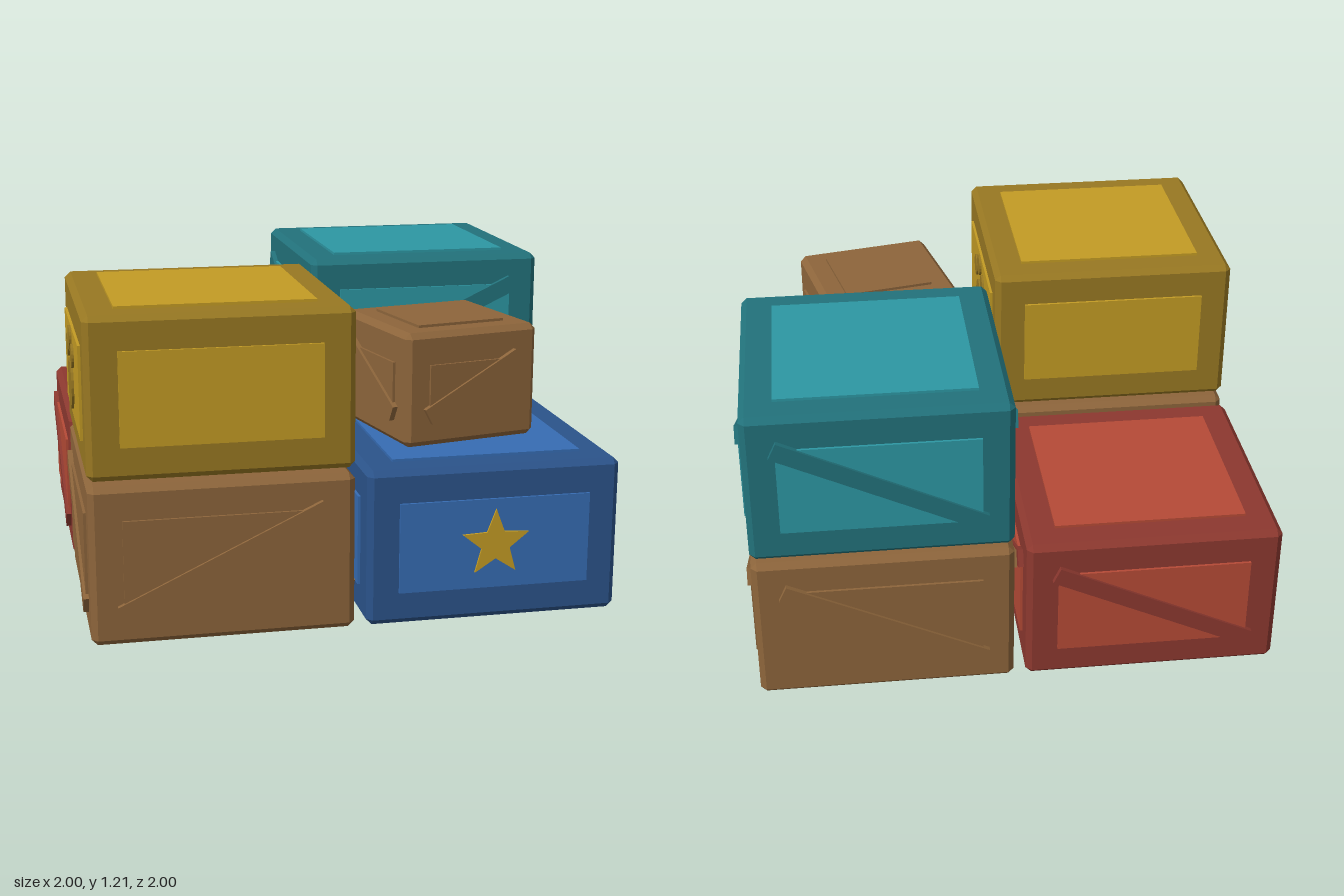
import * as THREE from 'three';
import { ConvexGeometry } from 'three/addons/geometries/ConvexGeometry.js';

const mat = (name, color) => {
  const m = new THREE.MeshStandardMaterial({ color });
  m.name = name;
  return m;
};

// Box with every edge cut at 45 degrees
function chamferBox(w, h, d, c) {
  const pts = [];
  for (const x of [-1, 1]) for (const y of [-1, 1]) for (const z of [-1, 1]) {
    pts.push(
      new THREE.Vector3(x * w / 2, y * (h / 2 - c), z * (d / 2 - c)),
      new THREE.Vector3(x * (w / 2 - c), y * h / 2, z * (d / 2 - c)),
      new THREE.Vector3(x * (w / 2 - c), y * (h / 2 - c), z * d / 2));
  }
  return new ConvexGeometry(pts);
}

function starShape(outer, inner) {
  const pts = [];
  for (let i = 0; i < 10; i++) {
    const r = i % 2 ? inner : outer, a = Math.PI / 2 + i * Math.PI / 5;
    pts.push(new THREE.Vector2(r * Math.cos(a), r * Math.sin(a)));
  }
  return new THREE.Shape(pts);
}

const disc = (x, y, r) => new THREE.Shape().absarc(x, y, r, 0, Math.PI * 2);

export function createModel() {
  const brown = mat('brownWood', 0x8d653b);
  const gold = mat('goldPanel', 0xc39b24), goldFrame = mat('goldFrame', 0x987822);
  const teal = mat('tealPanel', 0x2d97a3), tealFrame = mat('tealFrame', 0x22727b);
  const blue = mat('bluePanel', 0x366cb3), blueFrame = mat('blueFrame', 0x2b538a);
  const red = mat('redPanel', 0xb54a36), redFrame = mat('redFrame', 0x8c382f);

  const model = new THREE.Group();
  model.name = 'crateStack';

  const plate = (shapes) => new THREE.ExtrudeGeometry(shapes, { depth: 0.009, bevelEnabled: false, curveSegments: 10 });
  const starGeo = plate(starShape(0.132, 0.056));
  const pawGeo = plate([
    disc(0, -0.045, 0.095), disc(0, 0.127, 0.044),
    disc(-0.105, 0.08, 0.044), disc(0.105, 0.08, 0.044)]);

  // size: body width and height; panel: panel width and height
  function crate(name, { size: [w, h], panel: [pw, ph], frame, fill, brace, emblem, emblemMat, emblemSides = [] }) {
    const g = new THREE.Group();
    g.name = name;
    const add = (parent, part, geo, material) => {
      const m = new THREE.Mesh(geo, material);
      m.name = part;
      parent.add(m);
      return m;
    };
    add(g, 'body', chamferBox(w, h, w, 0.022), frame);

    // Top and bottom panels
    for (const s of [-1, 1]) {
      add(g, s > 0 ? 'topPanel' : 'bottomPanel', new THREE.BoxGeometry(pw, 0.02, pw), fill).position.y = s * h / 2;
    }

    // Four sides: panel, then a diagonal brace or an emblem
    for (let i = 0; i < 4; i++) {
      const side = new THREE.Group();
      side.name = ['frontSide', 'leftSide', 'backSide', 'rightSide'][i];
      side.rotation.y = i * Math.PI / 2;
      g.add(side);
      add(side, 'sidePanel', new THREE.BoxGeometry(pw, ph, 0.02), fill).position.z = w / 2;
      if (brace) {
        const b = add(side, 'brace', new THREE.BoxGeometry(Math.hypot(pw, ph) + 0.02, 0.066, 0.02), frame);
        b.position.z = w / 2 + 0.01;
        b.rotation.z = Math.atan2(ph, pw) * (i < 2 ? 1 : -1);
      }
      if (emblemSides.includes(i)) {
        add(side, 'emblem', emblem, emblemMat).position.z = w / 2 + 0.01;
      }
    }
    model.add(g);
    return g;
  }

  const big = { size: [0.955, 0.587], panel: [0.72, 0.34] };
  const low = 0.303, high = 0.909, c = 0.5;

  // Lower layer
  crate('frontBrownCrate', { ...big, frame: brown, fill: brown, brace: true }).position.set(-c, low, c);
  crate('backBrownCrate', { ...big, frame: brown, fill: brown, brace: true }).position.set(c, low, -c);
  crate('redCrate', { ...big, frame: redFrame, fill: red, brace: true }).position.set(-c, low, -c);
  crate('blueStarCrate', {
    ...big, frame: blueFrame, fill: blue, emblem: starGeo, emblemMat: gold, emblemSides: [0, 1, 2, 3],
  }).position.set(c, low, c);

  // Upper layer
  crate('goldPawCrate', {
    ...big, frame: goldFrame, fill: gold, emblem: pawGeo, emblemMat: goldFrame, emblemSides: [1, 3],
  }).position.set(-c, high, c);
  crate('tealCrate', { ...big, frame: tealFrame, fill: teal, brace: true }).position.set(c, high, -c);

  // Small turned crate on the blue one
  const small = crate('smallCrate', { size: [0.55, 0.433], panel: [0.36, 0.19], frame: brown, fill: brown, brace: true });
  small.position.set(0.425, 0.833, 0.447);
  small.rotation.y = 0.21;

  return model;
}
